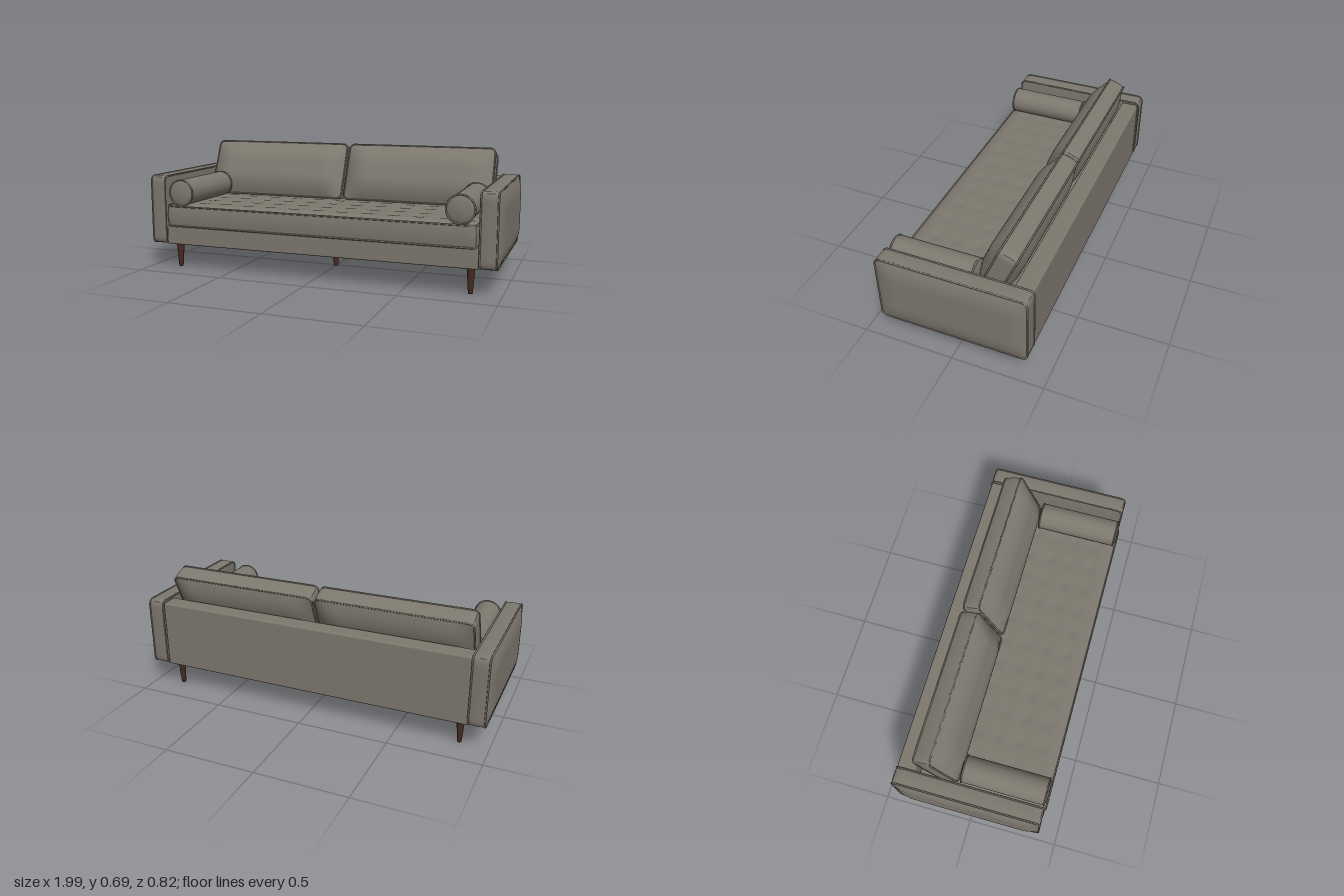
import * as THREE from 'three';
import { RoundedBoxGeometry } from 'three/addons/geometries/RoundedBoxGeometry.js';

const fabric = new THREE.MeshStandardMaterial({ color: 0x7d786e });
fabric.name = 'greyFabric';
const wood = new THREE.MeshStandardMaterial({ color: 0x452b20 });
wood.name = 'darkWood';

function mesh(name, geometry, material, x = 0, y = 0, z = 0) {
  const m = new THREE.Mesh(geometry, material);
  m.name = name;
  m.position.set(x, y, z);
  return m;
}

// Rounded slab in the XY plane whose faces swell away from the seams
function slab({ w, h, d, r, front, back, side = 0, edge, sx = 48, sy = 24, tuft = 0 }) {
  const g = new THREE.BoxGeometry(w, h, d, sx, sy, 6);
  const p = g.attributes.position;
  const puff = (dist) => 1 - (1 - Math.min(1, Math.max(0, dist) / edge)) ** 2;
  const dimple = (v, pitch) => ((1 + Math.cos((2 * Math.PI * v) / pitch)) / 2) ** 2;
  for (let i = 0; i < p.count; i++) {
    let x = p.getX(i), y = p.getY(i), z = p.getZ(i);
    const ex = w / 2 - Math.abs(x), ey = h / 2 - Math.abs(y);
    const swell = puff(ex) * puff(ey);
    const t = (2 * z) / d;
    const push = side * (1 - t * t);
    if (Math.abs(t) > 0.999) {
      const hollow = t > 0 ? tuft * dimple(x, 0.14) * dimple(y, 0.12) : 0;
      z += Math.sign(t) * swell * ((t > 0 ? front : back) - hollow);
    }
    const onX = ex < 1e-5, onY = ey < 1e-5;
    // Round the four corners
    const cx = THREE.MathUtils.clamp(x, r - w / 2, w / 2 - r);
    const cy = THREE.MathUtils.clamp(y, r - h / 2, h / 2 - r);
    const a = x - cx, b = y - cy;
    if (a && b) {
      const k = Math.max(Math.abs(a), Math.abs(b)) / Math.hypot(a, b);
      x = cx + a * k;
      y = cy + b * k;
    }
    if (onX) x += Math.sign(x) * push;
    if (onY) y += Math.sign(y) * push;
    p.setXYZ(i, x, y, z);
  }
  g.computeVertexNormals();
  return g;
}

// Piping cord that follows a rounded rectangle
function piping(w, h, r, z) {
  const s = new THREE.Shape(), X = w / 2 - r, Y = h / 2 - r;
  s.absarc(X, Y, r, 0, Math.PI / 2);
  s.absarc(-X, Y, r, Math.PI / 2, Math.PI);
  s.absarc(-X, -Y, r, Math.PI, Math.PI * 1.5);
  s.absarc(X, -Y, r, Math.PI * 1.5, Math.PI * 2);
  s.closePath();
  const pts = s.getSpacedPoints(160).slice(0, -1).map((q) => new THREE.Vector3(q.x, q.y, z));
  return new THREE.TubeGeometry(new THREE.CatmullRomCurve3(pts, true), 240, 0.005, 6, true);
}

// Upholstered part: swollen slab with a cord along both seams
function upholstered(name, o) {
  const g = new THREE.Group();
  g.name = name;
  g.add(mesh(name + 'Body', slab(o), fabric));
  for (const s of [1, -1]) {
    g.add(mesh(name + 'Piping', piping(o.w, o.h, o.r, (s * o.d) / 2), fabric));
  }
  return g;
}

// Cylindrical pillow lying along z
function bolster() {
  const g = new THREE.Group();
  g.name = 'bolster';
  const R = 0.074, L = 0.23;
  const half = [[R, L - 0.012], [R - 0.002, L - 0.004], [R - 0.008, L], [0.045, L + 0.007], [0, L + 0.01]];
  const profile = [...half.map(([x, y]) => [x, -y]).reverse(), ...half];
  const body = mesh('bolsterBody', new THREE.LatheGeometry(profile.map(([x, y]) => new THREE.Vector2(x, y)), 40), fabric);
  body.rotation.x = Math.PI / 2;
  g.add(body);
  for (const s of [1, -1]) {
    g.add(mesh('bolsterPiping', new THREE.TorusGeometry(R - 0.001, 0.005, 6, 40), fabric, 0, 0, s * (L - 0.004)));
  }
  return g;
}

export function createModel() {
  const sofa = new THREE.Group();
  sofa.name = 'sofa';

  // Frame
  sofa.add(mesh('baseRail', new RoundedBoxGeometry(1.77, 0.107, 0.79, 3, 0.008), fabric, 0, 0.1935, 0));
  sofa.add(mesh('backPanel', new RoundedBoxGeometry(1.77, 0.378, 0.1, 3, 0.01), fabric, 0, 0.329, -0.35));

  // Tufted seat cushion
  const seat = upholstered('seatCushion', {
    w: 1.75, h: 0.71, d: 0.112, r: 0.025, front: 0.014, back: 0, side: 0.005,
    edge: 0.06, sx: 110, sy: 44, tuft: 0.007,
  });
  seat.rotation.x = -Math.PI / 2;
  seat.position.set(0, 0.304, 0.047);
  sofa.add(seat);

  for (const s of [1, -1]) {
    // Arms, with the fuller face outwards
    const arm = upholstered('arm', {
      w: 0.798, h: 0.385, d: 0.086, r: 0.03, front: 0.021, back: 0.004, side: 0.003, edge: 0.1,
    });
    arm.rotation.y = (s * Math.PI) / 2;
    arm.position.set(s * 0.933, 0.333, -0.005);
    sofa.add(arm);

    // Leaning back cushions
    const cushion = upholstered('backCushion', {
      w: 0.855, h: 0.335, d: 0.098, r: 0.028, front: 0.055, back: 0.04, side: 0.004, edge: 0.13,
    });
    cushion.rotation.x = -0.4;
    cushion.position.set(s * 0.436, 0.513, -0.198);
    sofa.add(cushion);

    const pillow = bolster();
    pillow.position.set(s * 0.79, 0.435, 0.16);
    sofa.add(pillow);
  }

  // Tapered legs: four corners and one in the middle
  const legProfile = [[0, 0], [0.01, 0], [0.0125, 0.004], [0.021, 0.125], [0.021, 0.145], [0, 0.145]];
  const legGeometry = new THREE.LatheGeometry(legProfile.map(([x, y]) => new THREE.Vector2(x, y)), 20);
  for (const [x, z] of [[0.84, 0.33], [-0.84, 0.33], [0.84, -0.335], [-0.84, -0.335], [0, 0.013]]) {
    sofa.add(mesh('leg', legGeometry, wood, x, 0, z));
  }
  return sofa;
}
